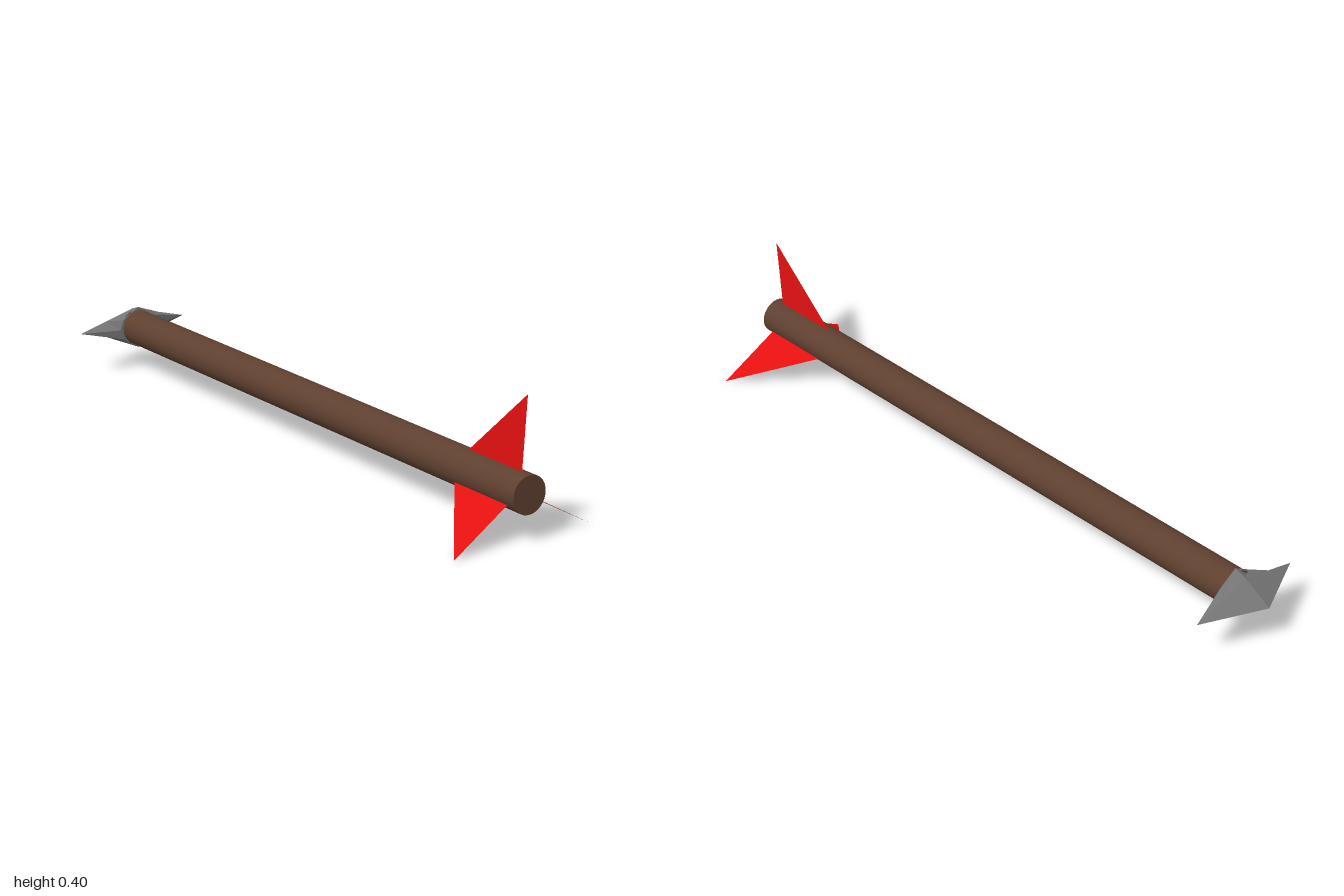
import * as THREE from 'three';

const AXIS_Y = 0.135;

// Head cross-section: eight points [x, y, z] built from a quarter outline [z, y]
function ring(x, top, mid, side) {
  return [
    [x, top, 0], [x, mid[1], mid[0]], [x, 0, side], [x, -mid[1], mid[0]],
    [x, -top, 0], [x, -mid[1], -mid[0]], [x, 0, -side], [x, mid[1], -mid[0]],
  ];
}

// Barbed head: tip, wide middle ring, narrow back ring, flat back
function headGeometry() {
  const middle = ring(-0.913, 0.052, [0.094, 0.026], 0.187);
  const back = ring(-0.877, 0.065, [0.054, 0.031], 0.065);
  const tip = [-1, 0, 0], centre = [-0.877, 0, 0];
  const pos = [];
  for (let i = 0; i < 8; i++) {
    const j = (i + 1) % 8;
    pos.push(...tip, ...middle[i], ...middle[j]);
    pos.push(...middle[i], ...back[i], ...back[j]);
    pos.push(...middle[i], ...back[j], ...middle[j]);
    pos.push(...centre, ...back[j], ...back[i]);
  }
  const g = new THREE.BufferGeometry();
  g.setAttribute('position', new THREE.Float32BufferAttribute(pos, 3));
  g.computeVertexNormals();
  return g;
}

export function createModel() {
  const wood = new THREE.MeshStandardMaterial({ color: 0x5f4030 });
  wood.name = 'brown wood';
  const steel = new THREE.MeshStandardMaterial({ color: 0x767676, flatShading: true, side: THREE.DoubleSide });
  steel.name = 'grey steel';
  const red = new THREE.MeshStandardMaterial({ color: 0xe31010, side: THREE.DoubleSide });
  red.name = 'red feather';

  const arrow = new THREE.Group();
  arrow.name = 'arrow';
  const body = new THREE.Group();
  body.name = 'body';
  body.position.y = AXIS_Y;
  arrow.add(body);

  // Round shaft along x
  const shaftGeo = new THREE.CylinderGeometry(0.054, 0.054, 1.89, 32);
  shaftGeo.rotateZ(Math.PI / 2);
  const shaft = new THREE.Mesh(shaftGeo, wood);
  shaft.name = 'shaft';
  shaft.position.x = 0.055;
  body.add(shaft);

  const head = new THREE.Mesh(headGeometry(), steel);
  head.name = 'head';
  body.add(head);

  // Three thin fins, 120 degrees apart
  const finShape = new THREE.Shape([
    new THREE.Vector2(0.745, 0.045),
    new THREE.Vector2(0.968, 0.045),
    new THREE.Vector2(0.983, 0.265),
  ]);
  const finGeo = new THREE.ShapeGeometry(finShape);
  for (let i = 0; i < 3; i++) {
    const fin = new THREE.Mesh(finGeo, red);
    fin.name = 'fin' + (i + 1);
    fin.rotation.x = (i * Math.PI * 2) / 3;
    body.add(fin);
  }
  return arrow;
}
